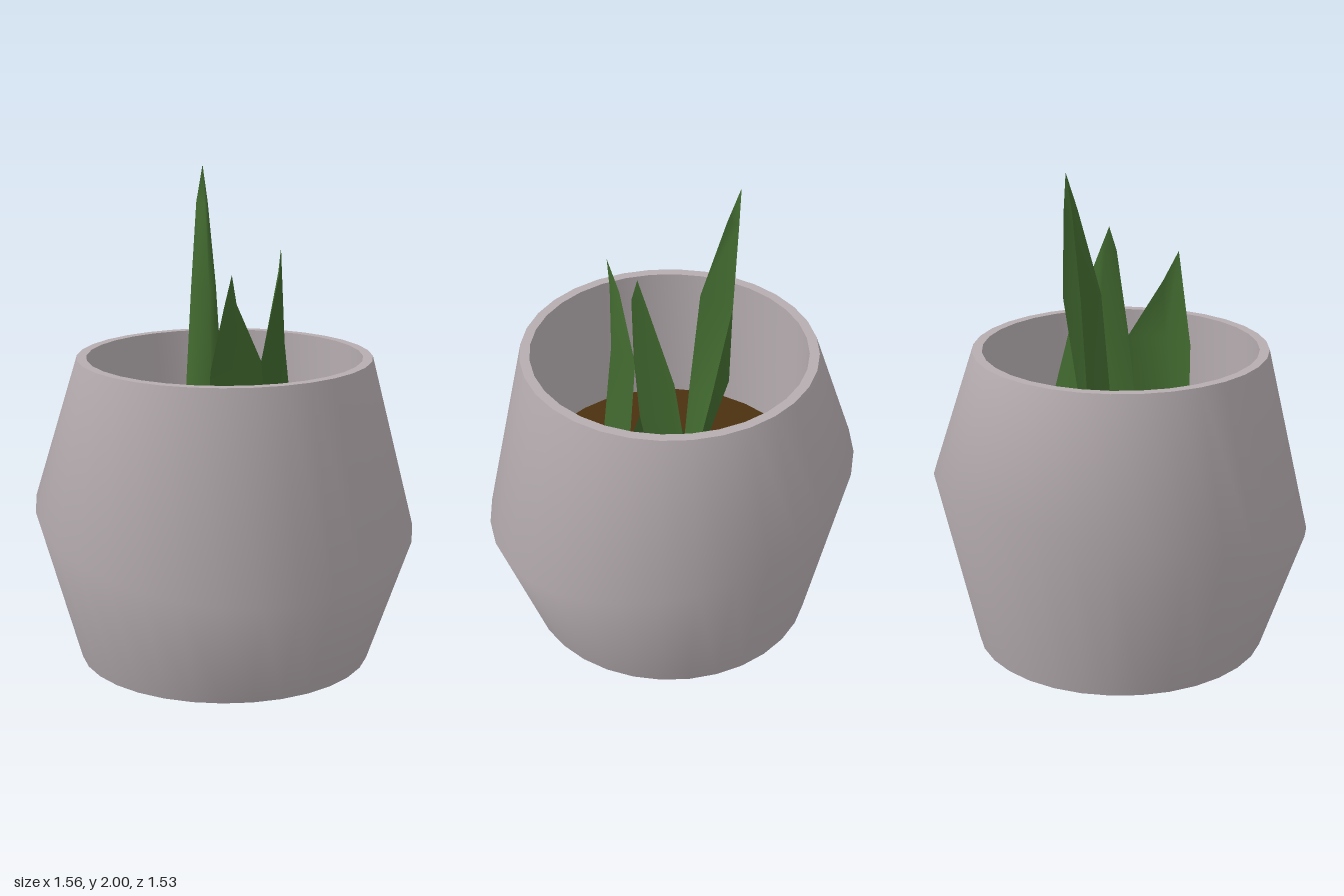
import * as THREE from 'three';
import { mergeVertices } from 'three/addons/utils/BufferGeometryUtils.js';

const SIDES = 32, TOP = 1.255, SOIL = 0.65, WAIST = 0.605;

// Lathe a short profile with smooth normals across the seam
function turned(profile, shape) {
  let geo = new THREE.LatheGeometry(profile.map(([r, y]) => new THREE.Vector2(r, y)), SIDES);
  geo.deleteAttribute('uv');
  geo.deleteAttribute('normal');
  const pos = geo.attributes.position;
  if (shape) for (let i = 0; i < pos.count; i++) shape(pos, i);
  geo = mergeVertices(geo, 1e-4);
  geo.computeVertexNormals();
  return geo;
}

// Folded blade: rows of [y, left, fold, right], each point [x, z], ending at a tip
function blade(rows, tip) {
  const pos = [], index = [];
  for (const [y, ...points] of rows) for (const [x, z] of points) pos.push(x, y, z);
  for (let r = 0; r < rows.length - 1; r++) {
    for (let c = 0; c < 2; c++) {
      const a = r * 3 + c;
      index.push(a, a + 1, a + 4, a, a + 4, a + 3);
    }
  }
  const last = (rows.length - 1) * 3, end = rows.length * 3;
  pos.push(...tip);
  index.push(last, last + 1, end, last + 1, last + 2, end);
  const geo = new THREE.BufferGeometry();
  geo.setAttribute('position', new THREE.Float32BufferAttribute(pos, 3));
  geo.setIndex(index);
  geo.computeVertexNormals();
  return geo;
}

export function createModel() {
  const group = new THREE.Group();
  const ceramic = new THREE.MeshStandardMaterial({ name: 'warmGreyCeramic', color: 0xb5acaf });
  const earth = new THREE.MeshStandardMaterial({ name: 'brownSoil', color: 0x4a3010 });
  const green = new THREE.MeshStandardMaterial({ name: 'leafGreen', color: 0x41692f, side: THREE.DoubleSide });

  const add = (name, geo, mat, parent = group) => {
    const mesh = new THREE.Mesh(geo, mat);
    mesh.name = name;
    parent.add(mesh);
    return mesh;
  };

  // Pot: the waist ring is tilted, low in front and high at the back
  const pot = new THREE.Group();
  pot.name = 'pot';
  group.add(pot);
  const tiltWaist = (pos, i) => {
    if (Math.abs(pos.getY(i) - WAIST) > 0.01) return;
    const z = pos.getZ(i) * 0.98;
    pos.setZ(i, z);
    pos.setY(i, WAIST - 0.216 * z);
  };
  add('outerWall', turned([[0.6, 0], [0.78, WAIST], [0.6, TOP]], tiltWaist), ceramic, pot);
  add('rim', turned([[0.6, TOP], [0.56, TOP]]), ceramic, pot);
  add('innerWall', turned([[0.56, TOP], [0.56, SOIL]]), ceramic, pot);
  add('base', new THREE.CircleGeometry(0.6, SIDES).rotateX(Math.PI / 2), ceramic, pot);

  // Soil inside the pot
  add('soil', new THREE.CircleGeometry(0.56, SIDES).rotateX(-Math.PI / 2), earth).position.y = SOIL;

  // Leaves growing from the soil
  const leaves = new THREE.Group();
  leaves.name = 'leaves';
  group.add(leaves);
  add('tallBackLeaf', blade([
    [SOIL, [-0.2, -0.15], [-0.02, -0.05], [0.16, -0.08]],
    [1.05, [-0.08, -0.24], [-0.03, -0.08], [0.06, -0.17]],
    [1.5, [-0.05, -0.25], [-0.02, -0.12], [0.06, -0.25]],
    [1.85, [-0.02, -0.265], [0.0, -0.22], [0.03, -0.265]],
  ], [0.01, 2, -0.27]), green, leaves);
  add('frontLeaf', blade([
    [SOIL, [-0.18, 0.21], [0, 0.29], [0.14, 0.17]],
    [1.25, [-0.155, 0.24], [-0.01, 0.235], [0.105, 0.13]],
    [1.5, [-0.1, 0.245], [-0.06, 0.24], [-0.03, 0.2]],
  ], [-0.07, 1.625, 0.25]), green, leaves);
  add('sideLeaf', blade([
    [SOIL, [-0.03, 0.08], [0.07, -0.08], [0.35, -0.11]],
    [0.95, [0.04, 0.12], [0.13, -0.03], [0.34, -0.09]],
    [1.28, [0.11, 0.135], [0.17, 0.02], [0.28, -0.035]],
    [1.6, [0.18, 0.135], [0.195, 0.09], [0.217, 0.075]],
  ], [0.197, 1.7, 0.11]), green, leaves);
  add('shortLeaf', blade([
    [SOIL, [-0.2, -0.06], [-0.12, 0.05], [-0.04, 0.2]],
    [0.88, [-0.1, -0.02], [-0.06, 0.06], [-0.03, 0.13]],
  ], [0, 1.05, 0.06]), green, leaves);

  return group;
}
